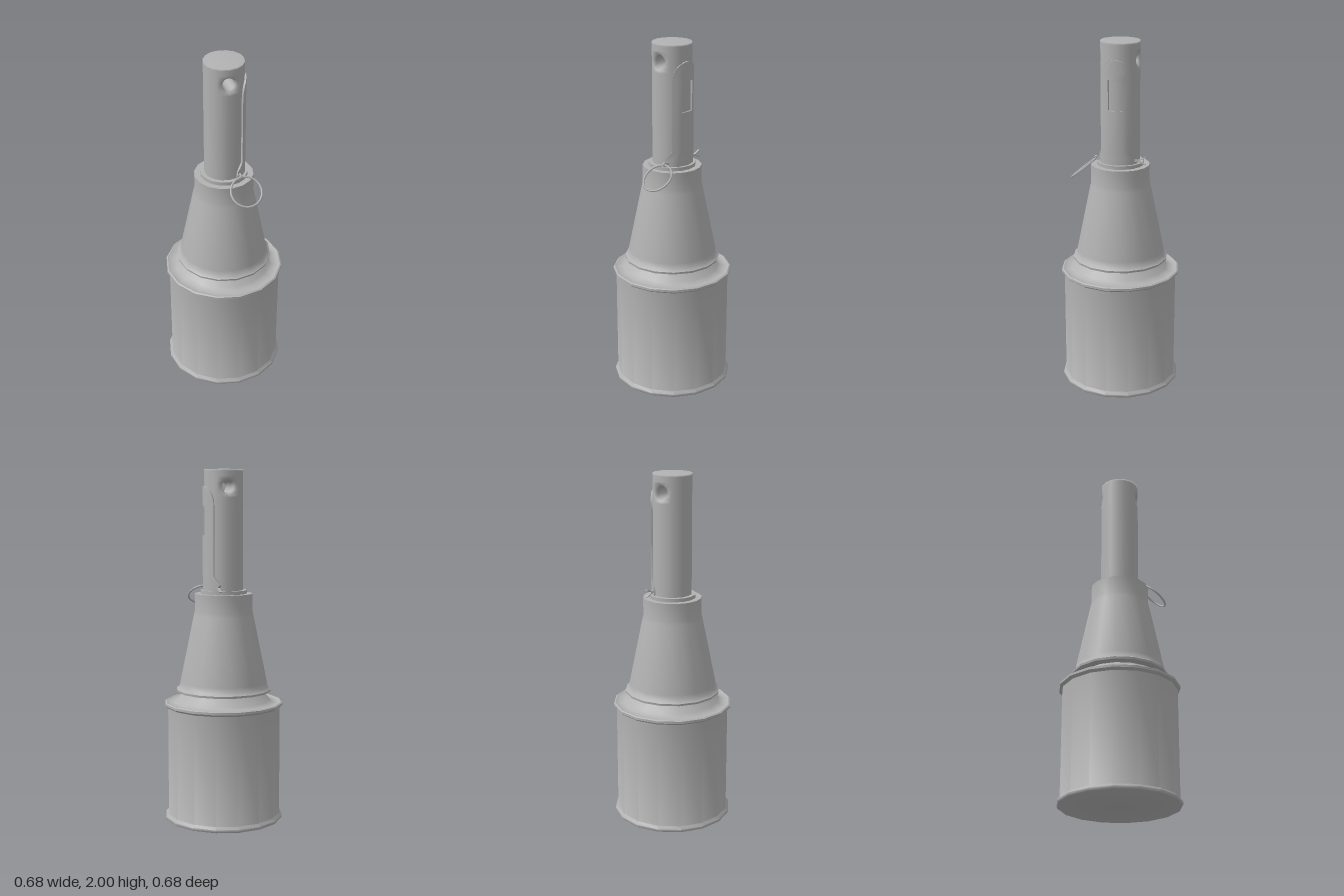
import * as THREE from 'three';
import { mergeVertices, toCreasedNormals } from 'three/addons/utils/BufferGeometryUtils.js';

const SIDES = 16;
const R = 0.11; // handle radius
const metal = new THREE.MeshStandardMaterial({ color: 0xb2b2b2 });
metal.name = 'grey metal';

function add(parent, name, geometry) {
  const mesh = new THREE.Mesh(geometry, metal);
  mesh.name = name;
  parent.add(mesh);
  return mesh;
}

// Profile [radius, height] from the bottom up, turned about y
function turned(profile, sides = SIDES, start = 0, sweep = Math.PI * 2) {
  return new THREE.LatheGeometry(profile.map(([r, y]) => new THREE.Vector2(r, y)), sides, start, sweep);
}
const creased = (profile) => toCreasedNormals(turned(profile), 0.9);

function fromQuads(quads) {
  const pos = [];
  for (const [a, b, c, d] of quads) for (const p of [a, b, c, a, c, d]) pos.push(...p);
  const g = new THREE.BufferGeometry();
  g.setAttribute('position', new THREE.Float32BufferAttribute(pos, 3));
  return g;
}

// Quarter of the handle wall with a flared cross hole in it
function holePatch(y0, half) {
  const clampWave = (k) =>
    THREE.MathUtils.clamp(Math.abs((((k % 16) + 16) % 16) - 8) - 4, -2, 2) / 2;
  const onWall = (angle, y) => [R * Math.sin(angle), y0 + y, R * Math.cos(angle)];
  const point = (loop, k) => {
    const a = (k / 16) * Math.PI * 2, c = Math.cos(a), s = Math.sin(a);
    if (loop < 2) return [0.034 * c, y0 + 0.034 * s, loop * 0.088];
    const t = (loop - 2) / 2;
    return onWall(
      THREE.MathUtils.lerp(0.44 * c, clampWave(k) * Math.PI / 4, t),
      THREE.MathUtils.lerp(0.046 * s, clampWave(k - 4) * half, t));
  };
  const quads = [];
  for (let l = 0; l < 4; l++)
    for (let k = 0; k < 16; k++) {
      const n = (k + 1) % 16;
      quads.push([point(l, k), point(l + 1, k), point(l + 1, n), point(l, n)]);
    }
  const g = mergeVertices(fromQuads(quads), 1e-5);
  g.computeVertexNormals();
  // Wall vertices take the round handle's normal so the seams vanish
  const p = g.attributes.position;
  for (let i = 0; i < p.count; i++) {
    const x = p.getX(i), z = p.getZ(i), dy = p.getY(i) - y0;
    if (Math.hypot(x, dy) > 0.052) g.attributes.normal.setXYZ(i, x / R, 0, z / R);
  }
  return g;
}

// Curved lever plate: rows of [height, half angle in degrees], with a window
function leverPlate() {
  const rows = [[1.32, 68], [1.365, 65], [1.385, 56], [1.41, 47], [1.63, 47], [1.8, 47],
    [1.83, 46], [1.865, 39], [1.89, 27], [1.905, 12], [1.908, 4]];
  const cols = [-1, -0.72, -0.43, 0, 0.43, 0.72, 1];
  const point = (i, j, r) => {
    const a = THREE.MathUtils.degToRad(rows[i][1] * cols[j]);
    return [r * Math.cos(a), rows[i][0], -r * Math.sin(a)];
  };
  const solid = (i, j) => i >= 0 && j >= 0 && i < rows.length - 1 && j < cols.length - 1
    && !(i === 4 && (j === 2 || j === 3));
  const outer = [], walls = [];
  const OUT = 0.119, IN = 0.1;
  for (let i = 0; i < rows.length - 1; i++)
    for (let j = 0; j < cols.length - 1; j++) {
      if (!solid(i, j)) continue;
      const c = [[i, j], [i, j + 1], [i + 1, j + 1], [i + 1, j]];
      outer.push(c.map(([a, b]) => point(a, b, OUT)));
      // Close each edge that has no neighbouring cell
      [[-1, 0], [0, 1], [1, 0], [0, -1]].forEach(([di, dj], e) => {
        if (solid(i + di, j + dj)) return;
        const p = c[e], q = c[(e + 1) % 4];
        walls.push([point(...p, OUT), point(...p, IN), point(...q, IN), point(...q, OUT)]);
      });
    }
  const face = mergeVertices(fromQuads(outer), 1e-5);
  face.computeVertexNormals();
  return [face, toCreasedNormals(fromQuads(walls), 0.7)];
}

export function createModel() {
  const model = new THREE.Group();
  model.name = 'model';

  // Can with rolled rims and a sloped shoulder
  add(model, 'body', creased([[0, 0], [0.335, 0], [0.341, 0.006], [0.341, 0.018], [0.325, 0.032],
    [0.325, 0.655], [0.341, 0.667], [0.341, 0.68], [0.333, 0.685], [0.315, 0.678],
    [0.285, 0.682], [0.268, 0.695], [0.215, 0.75]]));

  // Tapered cover with a flared lower lip
  add(model, 'cone', creased([[0.2, 0.745], [0.27, 0.745], [0.272, 0.757], [0.255, 0.77],
    [0.25, 0.8], [0.172, 1.18], [0.166, 1.205], [0.166, 1.305], [0.12, 1.305]]));
  add(model, 'collar', creased([[0.133, 1.3], [0.133, 1.325], [0.09, 1.325]]));

  // Handle with a cross hole near the top
  const handle = new THREE.Group();
  handle.name = 'handle';
  model.add(handle);
  const holeY = 1.903, half = 0.075;
  add(handle, 'handleTube', turned([[R, 1.31], [R, holeY - half]]));
  add(handle, 'handleTop', turned([[R, holeY + half], [R, 1.99], [R, 2], [0, 2]]));
  for (const turn of [0, Math.PI]) {
    add(handle, 'handleHole', holePatch(holeY, half)).rotation.y = turn;
    add(handle, 'handleSide', turned([[R, holeY - half], [R, holeY + half]], 4,
      Math.PI / 4 + turn, Math.PI / 2));
  }

  // Lever on the handle's left side
  const lever = new THREE.Group();
  lever.name = 'lever';
  model.add(lever);
  const [face, edges] = leverPlate();
  add(lever, 'leverFace', face);
  add(lever, 'leverEdges', edges);

  // Split pin with spread ends and an eye
  const pin = new THREE.Group();
  pin.name = 'pin';
  pin.position.set(0.06, 1.345, 0);
  model.add(pin);
  add(pin, 'pinShaft', new THREE.BoxGeometry(0.013, 0.012, 0.23));
  for (const s of [1, -1]) {
    const prong = add(pin, 'pinProng', new THREE.BoxGeometry(0.013, 0.005, 0.055));
    prong.position.set(0, s * 0.009, -0.134);
    prong.rotation.x = s * 0.42;
  }
  const eye = add(pin, 'pinEye', new THREE.TorusGeometry(0.011, 0.004, 6, 12));
  eye.rotation.y = Math.PI / 2;
  eye.scale.z = 1.7;
  eye.position.z = 0.124;

  // Pull ring hanging forward from the eye
  const ring = add(model, 'ring', new THREE.TorusGeometry(0.087, 0.006, 6, 18));
  ring.position.set(0.072, 1.287, 0.193);
  ring.rotation.x = -0.88;
  return model;
}
